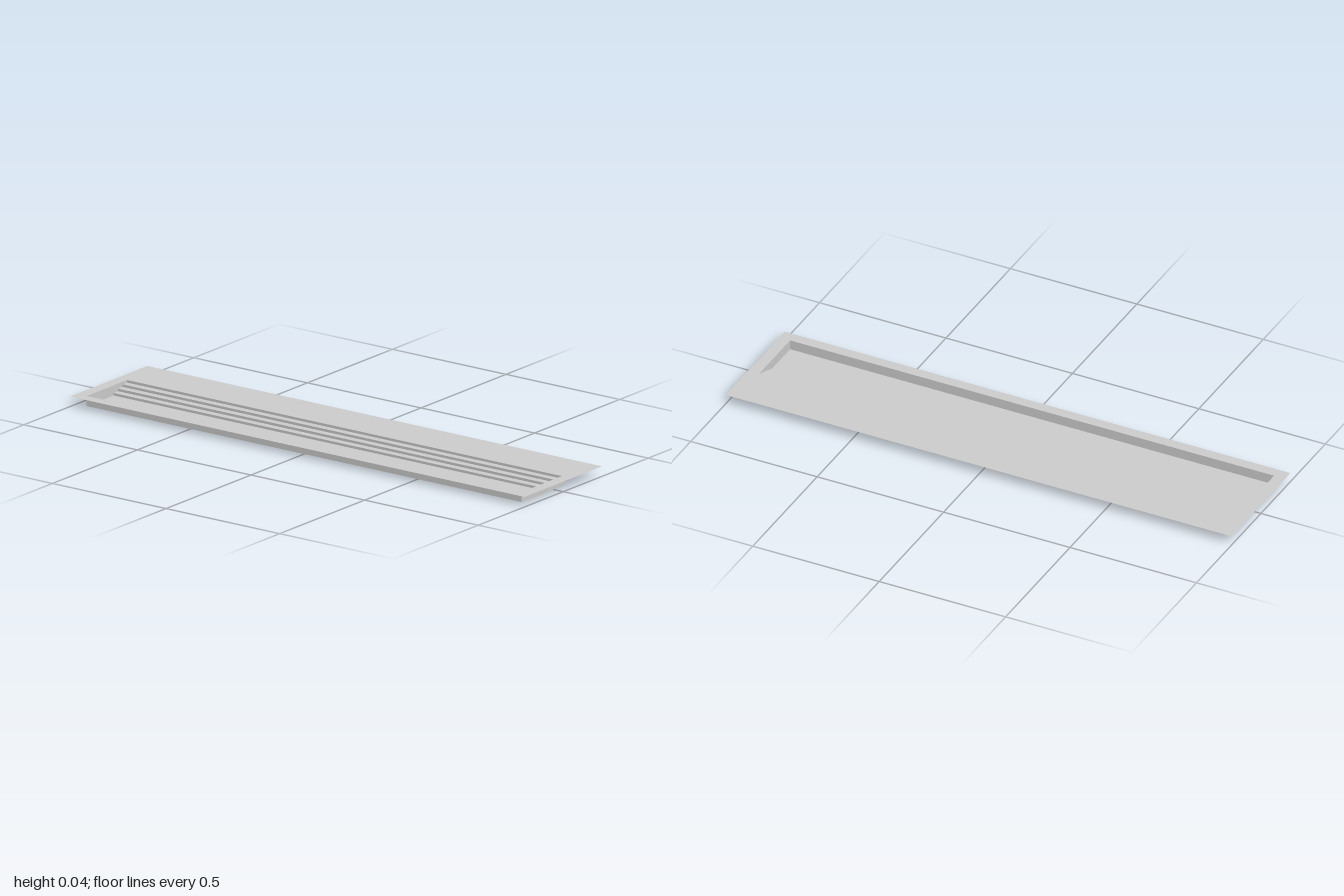
import * as THREE from 'three';

const TOP = 0.037;                 // deck height above the basin floor
const X = 0.957;                   // half length of the basin
const FRONT = 0.187, BACK = -0.05; // basin opening along z
const STEPS = 4, TREAD = 0.0267;

const material = new THREE.MeshStandardMaterial({
  color: 0xcccccc, side: THREE.DoubleSide, flatShading: true,
});

// Thin sheet swept along x through [z, y] profile points, front to back
function sheet(name, profile) {
  const positions = [];
  for (let i = 0; i < profile.length - 1; i++) {
    const [z0, y0] = profile[i], [z1, y1] = profile[i + 1];
    positions.push(-X, y0, z0, X, y0, z0, X, y1, z1);
    positions.push(-X, y0, z0, X, y1, z1, -X, y1, z1);
  }
  const geometry = new THREE.BufferGeometry();
  geometry.setAttribute('position', new THREE.Float32BufferAttribute(positions, 3));
  geometry.computeVertexNormals();
  const mesh = new THREE.Mesh(geometry, material);
  mesh.name = name;
  return mesh;
}

function rectangle(path, x0, y0, x1, y1) {
  path.moveTo(x0, y0).lineTo(x1, y0).lineTo(x1, y1).lineTo(x0, y1).closePath();
  return path;
}

export function createModel() {
  const model = new THREE.Group();
  model.name = 'sunkenBasin';

  // Flat deck with the basin opening (shape y becomes -z)
  const outline = rectangle(new THREE.Shape(), -1, -0.228, 1, 0.228);
  outline.holes.push(rectangle(new THREE.Path(), -X, -FRONT, X, -BACK));
  const deckGeometry = new THREE.ShapeGeometry(outline);
  deckGeometry.rotateX(-Math.PI / 2).translate(0, TOP, 0);
  const deck = new THREE.Mesh(deckGeometry, material);
  deck.name = 'deck';
  model.add(deck);

  // Steps rise from the floor to the back edge of the opening
  const steps = [];
  for (let i = 0; i < STEPS; i++) {
    const z = BACK + (STEPS - 1 - i) * TREAD;
    steps.push([z, (i * TOP) / STEPS], [z, ((i + 1) * TOP) / STEPS]);
  }
  model.add(sheet('steps', steps));

  // Floor and front wall
  model.add(sheet('floor', [[FRONT, 0], steps[0]]));
  const wall = sheet('frontWall', [[FRONT, 0], [FRONT, TOP]]);
  model.add(wall);

  // End walls reach a little behind the top step
  const wallBack = -0.072;
  for (const side of [-1, 1]) {
    const end = new THREE.Mesh(new THREE.PlaneGeometry(FRONT - wallBack, TOP), material);
    end.name = side > 0 ? 'leftEndWall' : 'rightEndWall';
    end.rotation.y = (side * Math.PI) / 2;
    end.position.set(side * X, TOP / 2, (FRONT + wallBack) / 2);
    model.add(end);
  }
  return model;
}
